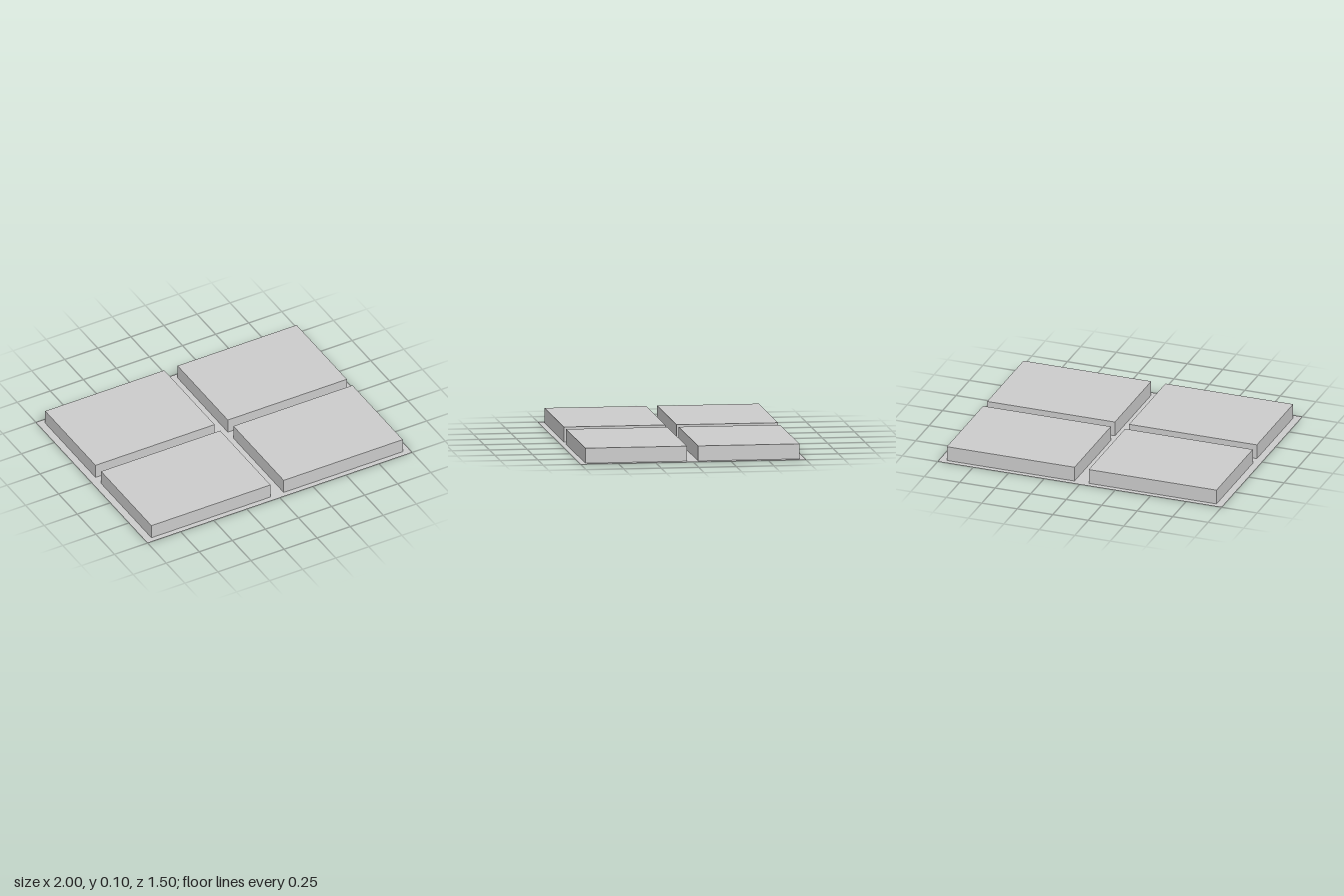
import * as THREE from 'three';

const W = 2, D = 1.5, H = 0.1;      // overall sheet size and panel height
const PW = 0.9, PD = 0.675;         // raised panel footprint
const centres = [-1, 1].flatMap(sx => [-1, 1].map(sz => [sx * W / 4, sz * D / 4]));

// Traces a centred rectangle on a shape or path
function rect(path, cx, cy, w, h) {
  path.moveTo(cx - w / 2, cy - h / 2);
  path.lineTo(cx + w / 2, cy - h / 2);
  path.lineTo(cx + w / 2, cy + h / 2);
  path.lineTo(cx - w / 2, cy + h / 2);
  path.closePath();
  return path;
}

export function createModel() {
  const group = new THREE.Group();
  group.name = 'panelledSheet';
  const material = new THREE.MeshStandardMaterial({ color: 0xcccccc, side: THREE.DoubleSide });

  // Flat border and cross bars: a thin sheet with four openings
  const sheet = rect(new THREE.Shape(), 0, 0, W, D);
  for (const [x, z] of centres) sheet.holes.push(rect(new THREE.Path(), x, z, PW, PD));
  const border = new THREE.Mesh(new THREE.ShapeGeometry(sheet).rotateX(-Math.PI / 2), material);
  border.name = 'border';
  group.add(border);

  // Raised panels, hollow and open underneath: a box without its bottom face
  const panelGeometry = new THREE.BoxGeometry(PW, H, PD);
  const index = Array.from(panelGeometry.index.array);
  index.splice(18, 6);
  panelGeometry.setIndex(index);
  panelGeometry.clearGroups();
  for (const [x, z] of centres) {
    const panel = new THREE.Mesh(panelGeometry, material);
    panel.name = (z > 0 ? 'front' : 'back') + (x > 0 ? 'Left' : 'Right') + 'Panel';
    panel.position.set(x, H / 2, z);
    group.add(panel);
  }
  return group;
}
